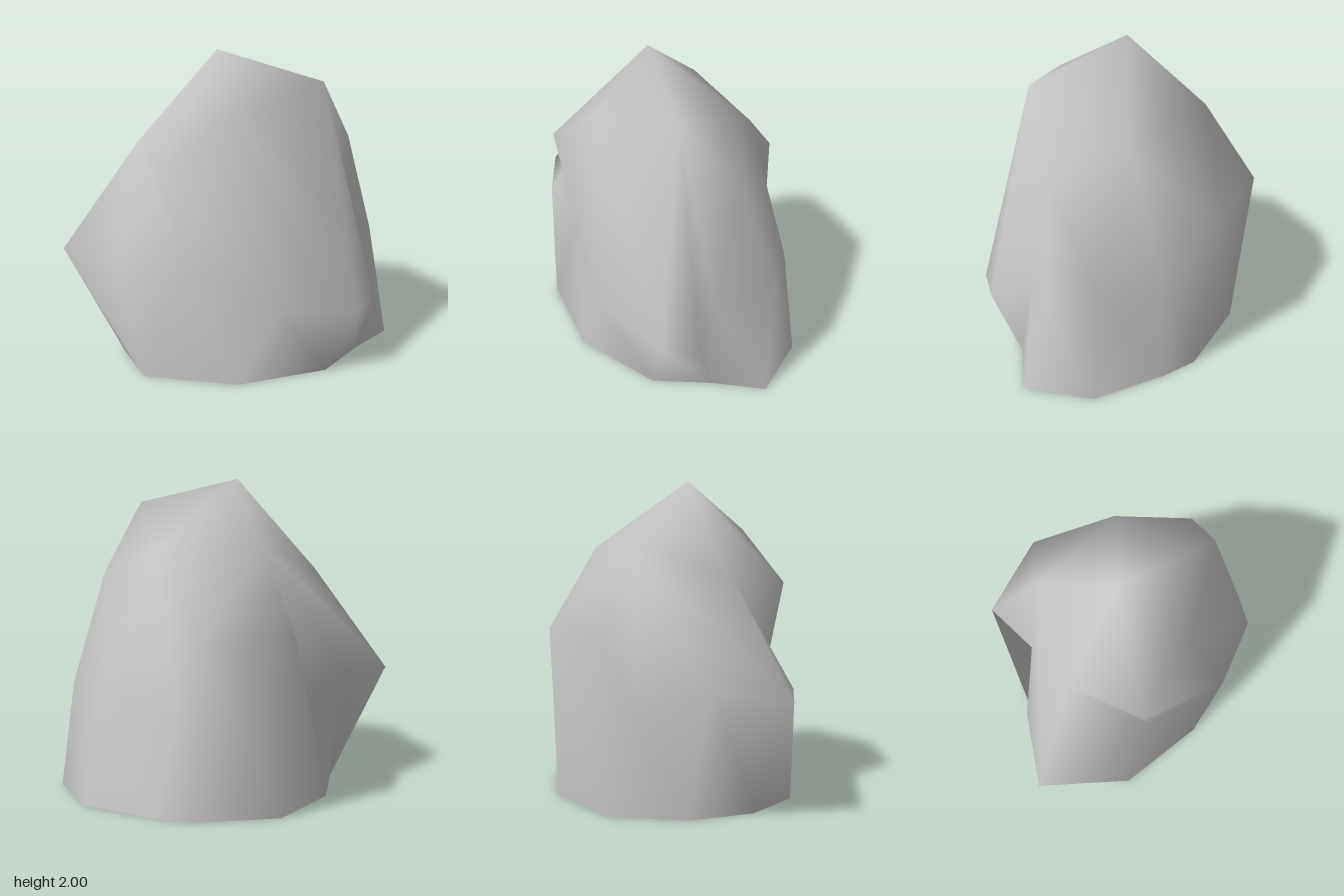
import * as THREE from 'three';

// Ground outline, from +x round the front to the back
const BASE = {
  b0: [0.71, 0, -0.14], b1: [0.48, 0, 0.41], b2: [0, 0, 0.78], b3: [-0.38, 0, 0.66], b4: [-0.66, 0, 0.35],
  b5: [-0.78, 0, -0.14], b6: [-0.5, 0, -0.62], b7: [-0.3, 0, -0.75], b8: [0.15, 0, -0.96], b9: [0.59, 0, -0.86],
  b10: [0.63, 0, -0.51],
};
// Bulging corners round the middle, with hollows between them (h)
const MIDDLE = {
  m0: [0.87, 0.43, -0.25], m1: [0.66, 0.49, 0.21], h0: [0.13, 0.73, 0.55], m2: [-0.18, 0.75, 0.84],
  m3: [-0.58, 0.75, 0.96], m4: [-0.66, 0.8, 0.49], h1: [-0.62, 0.6, 0], m5: [-0.87, 1.11, -0.12],
  m6: [-0.61, 1.1, -0.6], h2: [-0.29, 0.58, -0.56], m7: [0.12, 0.74, -0.85], m8: [0.42, 0.73, -0.85],
  h3: [0.54, 0.58, -0.5], m9: [0.81, 0.43, -0.47],
};
// Shoulder corners
const SHOULDER = {
  s0: [0.52, 1.84, -0.25], s1: [0.36, 1.69, 0.32], s2: [0.09, 1.37, 0.69], s3: [-0.36, 1.43, 0.5],
  s4: [-0.54, 1.62, -0.08], s5: [-0.07, 1.57, -0.55], s6: [0.42, 1.42, -0.6],
};
const PEAK = { peak: [-0.06, 2, 0.1] };

function boulderGeometry() {
  const points = { ...BASE, ...MIDDLE, ...SHOULDER, ...PEAK };
  const names = Object.keys(points);
  const index = [];
  const tri = (...corners) => index.push(...corners.map((name) => names.indexOf(name)));

  // Band between two closed loops: each step moves on along the lower (L) or upper (U) loop
  const band = (lowerRing, upperRing, steps) => {
    const lower = Object.keys(lowerRing);
    const upper = Object.keys(upperRing);
    let l = 0;
    let u = 0;
    for (const step of steps) {
      const low = lower[l % lower.length];
      const up = upper[u % upper.length];
      if (step === 'L') tri(low, up, lower[++l % lower.length]);
      else tri(low, up, upper[++u % upper.length]);
    }
  };
  band(BASE, MIDDLE, 'ULULUULULUULULULULULULUUL');
  band(MIDDLE, SHOULDER, 'ULULULLULLLLULLULLULL');

  // Crown around the peak
  const crown = ['s0', 's1', 's2', 's3', 's4', 's5'];
  crown.forEach((name, i) => tri(name, 'peak', crown[(i + 1) % crown.length]));
  tri('s5', 's0', 's6');

  const geometry = new THREE.BufferGeometry();
  geometry.setAttribute('position', new THREE.Float32BufferAttribute(Object.values(points).flat(), 3));
  geometry.setIndex(index);
  geometry.computeVertexNormals();
  return geometry;
}

export function createModel() {
  const stone = new THREE.MeshStandardMaterial({ color: 0xc8c8c8, side: THREE.DoubleSide });
  stone.name = 'grey stone';
  const boulder = new THREE.Mesh(boulderGeometry(), stone);
  boulder.name = 'boulder';
  const model = new THREE.Group();
  model.name = 'rock';
  model.add(boulder);
  return model;
}
